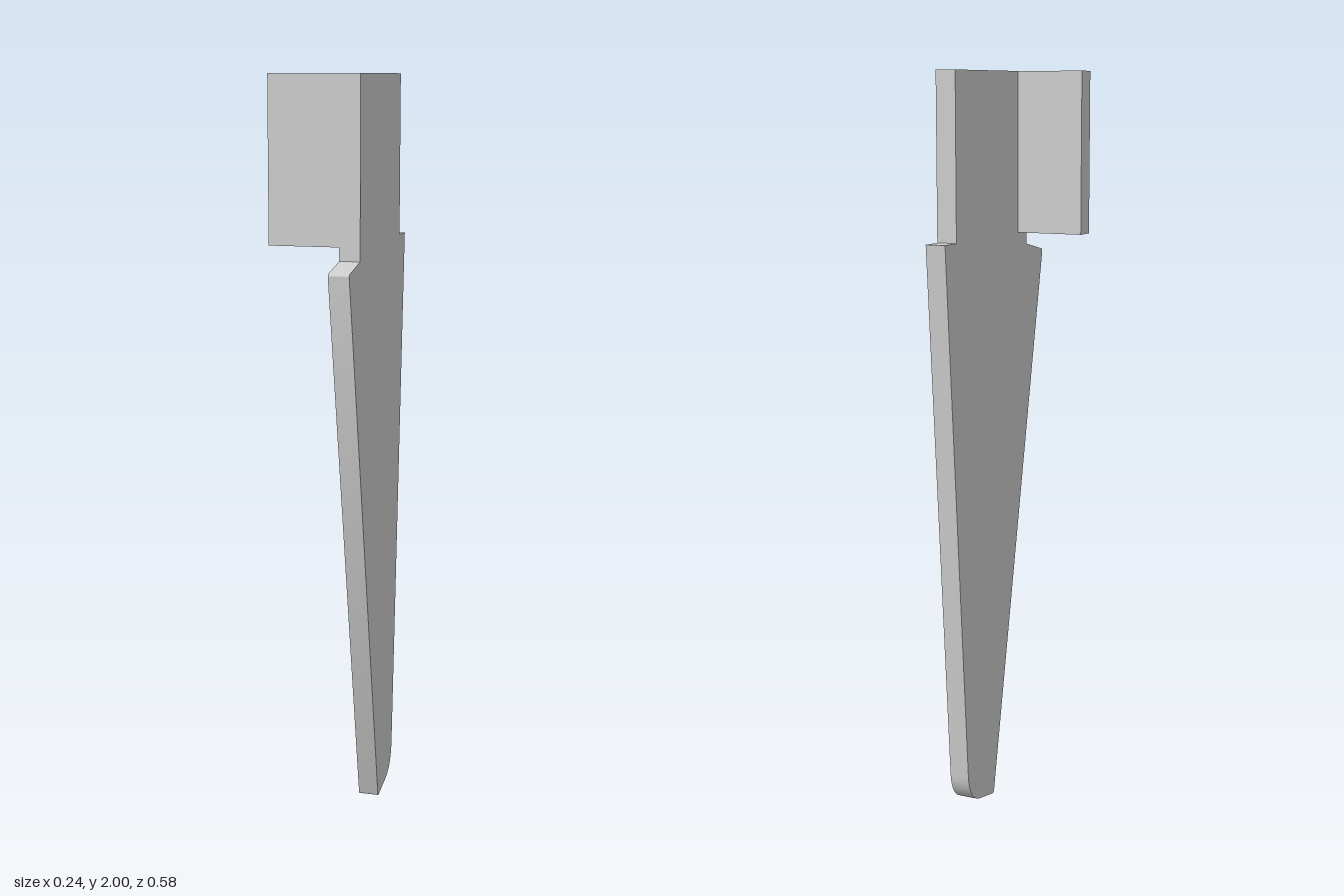
import * as THREE from 'three';
import { toCreasedNormals } from 'three/addons/utils/BufferGeometryUtils.js';

const material = new THREE.MeshStandardMaterial({ color: 0xcccccc });

export function createModel() {
  const model = new THREE.Group();
  const inner = 0.066, outer = 0.121; // x limits of the blade plate

  // Blade outline, drawn as (-z, y) so that a quarter turn puts it upright
  const outline = new THREE.Shape();
  outline.moveTo(-0.188, 2);
  outline.lineTo(-0.188, 1.535);
  outline.lineTo(-0.283, 1.515);
  outline.quadraticCurveTo(-0.294, 1.513, -0.291, 1.503); // softened shoulder
  outline.lineTo(0.025, 0.008);
  outline.quadraticCurveTo(0.027, 0, 0.035, 0.002); // softened tip
  outline.lineTo(0.113, 0.018);
  outline.bezierCurveTo(0.155, 0.027, 0.18, 0.06, 0.183, 0.11); // round back corner
  outline.lineTo(0.292, 1.568);
  outline.lineTo(0.23, 1.568);
  outline.lineTo(0.23, 2);
  outline.closePath();

  const bladeGeometry = new THREE.ExtrudeGeometry(outline, {
    depth: outer - inner, bevelEnabled: false, curveSegments: 12,
  });
  bladeGeometry.rotateY(Math.PI / 2).translate(inner, 0, 0);
  const blade = new THREE.Mesh(toCreasedNormals(bladeGeometry, 0.35), material);
  blade.name = 'blade';
  model.add(blade);

  // Flange folded across the front of the upper tab
  const flange = new THREE.Mesh(new THREE.BoxGeometry(inner + 0.121, 0.43, 0.056), material);
  flange.position.set((inner - 0.121) / 2, 1.785, 0.16);
  flange.name = 'flange';
  model.add(flange);

  return model;
}
